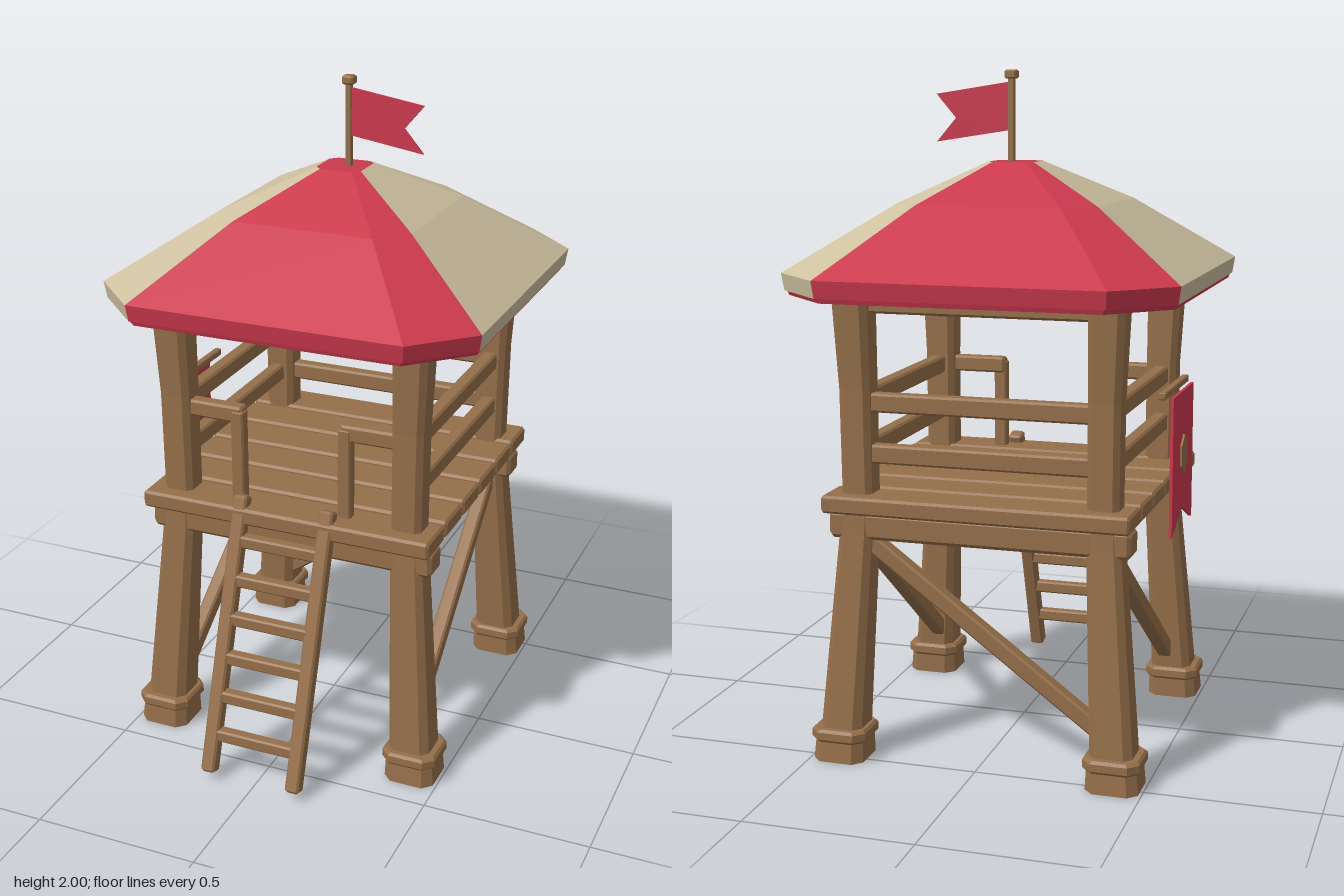
import * as THREE from 'three';

const wood = new THREE.MeshStandardMaterial({ color: 0x956f4a });
wood.name = 'wood';
const red = new THREE.MeshStandardMaterial({ color: 0xcb394d });
red.name = 'red cloth';
const cream = new THREE.MeshStandardMaterial({ color: 0xcdc1a0 });
cream.name = 'cream cloth';

// Chamfered-square cross-section, counted from the +x side towards +z
function ringPoints({ y, hx, hz = hx, ch, cx = 0, cz = 0 }) {
  const ex = hx - ch, ez = hz - ch;
  return [[hx, -ez], [hx, ez], [ex, hz], [-ex, hz], [-hx, ez], [-hx, -ez], [-ex, -hz], [ex, -hz]]
    .map(([x, z]) => new THREE.Vector3(cx + x, y, cz + z));
}

// Flat-shaded solid through a stack of rings; slot(i) picks the material of side i
function loft(rings, slot = () => 0) {
  const buckets = [[], []];
  const tri = (s, ...pts) => pts.forEach(p => buckets[s].push(p.x, p.y, p.z));
  const loops = rings.map(ringPoints);
  const last = loops[loops.length - 1];
  for (let i = 0; i < 8; i++) {
    const j = (i + 1) % 8;
    for (let k = 0; k + 1 < loops.length; k++) {
      const a = loops[k], b = loops[k + 1];
      tri(slot(i), a[i], b[i], a[j]);
      tri(slot(i), a[j], b[i], b[j]);
    }
    if (i > 0 && i < 7) {
      tri(0, loops[0][0], loops[0][i], loops[0][j]);
      tri(0, last[0], last[j], last[i]);
    }
  }
  const geo = new THREE.BufferGeometry();
  geo.setAttribute('position', new THREE.Float32BufferAttribute(buckets.flat(), 3));
  geo.computeVertexNormals();
  const n = buckets[0].length / 3;
  geo.addGroup(0, n, 0);
  if (buckets[1].length) geo.addGroup(n, buckets[1].length / 3, 1);
  return geo;
}

function add(parent, name, geo, mat = wood) {
  const mesh = new THREE.Mesh(geo, mat);
  mesh.name = name;
  parent.add(mesh);
  return mesh;
}

// Bevelled timber from a to b, w wide (horizontally) and h high
function beam(parent, name, a, b, w, h = w) {
  const A = new THREE.Vector3(...a), B = new THREE.Vector3(...b);
  const L = A.distanceTo(B), dir = B.clone().sub(A).normalize();
  const c = Math.min(w, h) * 0.14;
  const end = { hx: w / 2 - c, hz: h / 2 - c, ch: c / 2 }, body = { hx: w / 2, hz: h / 2, ch: c };
  const mesh = add(parent, name, loft([
    { y: -L / 2, ...end }, { y: -L / 2 + c, ...body }, { y: L / 2 - c, ...body }, { y: L / 2, ...end },
  ]));
  const side = Math.abs(dir.y) > 0.999 ? new THREE.Vector3(1, 0, 0)
    : dir.clone().cross(new THREE.Vector3(0, 1, 0)).normalize();
  mesh.quaternion.setFromRotationMatrix(
    new THREE.Matrix4().makeBasis(side, dir, side.clone().cross(dir)));
  mesh.position.copy(A).add(B).multiplyScalar(0.5);
  return mesh;
}

// Thin plate cut from an outline
function plate(parent, name, pts, mat, depth = 0.006) {
  const shape = new THREE.Shape(pts.map(p => new THREE.Vector2(...p)));
  const geo = new THREE.ExtrudeGeometry(shape, { depth, bevelEnabled: false });
  return add(parent, name, geo.translate(0, 0, -depth / 2), mat);
}

export function createModel() {
  const model = new THREE.Group();
  model.name = 'watchtower';
  const tower = new THREE.Group();
  tower.name = 'tower';
  tower.position.z = -0.065;
  model.add(tower);

  // Corner posts with feet and collars
  for (const sx of [-1, 1]) for (const sz of [-1, 1]) {
    const ring = (y, c, hx, ch = hx * 0.35) => ({ y, hx, ch, cx: sx * c, cz: sz * c });
    add(tower, 'cornerPost', loft([ring(0.04, 0.411, 0.064), ring(0.68, 0.37, 0.05),
      ring(0.8, 0.366, 0.046), ring(1.1, 0.368, 0.047), ring(1.38, 0.376, 0.054)]));
    add(tower, 'foot', loft([ring(0, 0.413, 0.077), ring(0.065, 0.411, 0.073)]));
    add(tower, 'footCollar', loft([ring(0.06, 0.411, 0.076), ring(0.068, 0.411, 0.083),
      ring(0.09, 0.411, 0.083), ring(0.098, 0.411, 0.076)]));
  }

  // Platform
  for (let i = 0; i < 6; i++) {
    const z = (i - 2.5) * 0.156;
    beam(tower, 'deckPlank', [-0.456, 0.77, z], [0.456, 0.77, z], 0.14, 0.052);
  }
  for (const s of [-1, 1]) {
    beam(tower, 'deckBeam', [-0.45, 0.702, s * 0.37], [0.45, 0.702, s * 0.37], 0.092, 0.08);
    beam(tower, 'topBeam', [-0.37, 1.348, s * 0.37], [0.37, 1.348, s * 0.37], 0.05, 0.055);
  }

  // Railings on the back and both sides, open gate at the front
  for (const y of [0.912, 1.062]) {
    beam(tower, 'backRail', [-0.36, y, -0.37], [0.36, y, -0.37], 0.045, 0.055);
    for (const s of [-1, 1])
      beam(tower, 'sideRail', [s * 0.37, y, -0.36], [s * 0.37, y, 0.36], 0.045, 0.055);
  }
  for (const s of [-1, 1]) {
    beam(tower, 'frontRail', [s * 0.36, 1.062, 0.37], [s * 0.155, 1.062, 0.37], 0.045, 0.05);
    beam(tower, 'gatePost', [s * 0.17, 0.785, 0.375], [s * 0.17, 1.075, 0.375], 0.04);
  }

  // Diagonal braces
  beam(tower, 'backBrace', [-0.39, 0.13, -0.39], [0.37, 0.68, -0.375], 0.045, 0.05);
  for (const s of [-1, 1])
    beam(tower, 'sideBrace', [s * 0.39, 0.13, 0.39], [s * 0.372, 0.68, -0.37], 0.045, 0.05);
  beam(tower, 'roofStrut', [0.37, 1.21, 0.36], [0.37, 1.35, 0.225], 0.045);

  // Ladder
  const ladder = new THREE.Group();
  ladder.name = 'ladder';
  tower.add(ladder);
  const ladderZ = y => 0.685 - (y - 0.03) * 0.331;
  for (const x of [-0.14, 0.135])
    beam(ladder, 'ladderRail', [x, 0.025, ladderZ(0.025)], [x, 0.825, ladderZ(0.825)], 0.044);
  for (let i = 0; i < 6; i++) {
    const y = 0.138 + i * 0.112;
    beam(ladder, 'rung', [-0.14, y, ladderZ(y)], [0.135, y, ladderZ(y)], 0.036, 0.038);
  }

  // Canopy of alternating red and cream panels, with a red lining
  add(tower, 'canopy', loft([
    { y: 1.38, hx: 0.572, ch: 0.16 }, { y: 1.43, hx: 0.58, ch: 0.163 },
    { y: 1.62, hx: 0.3, ch: 0.085 }, { y: 1.735, hx: 0.07, ch: 0.02, cx: 0.006, cz: -0.004 },
  ], i => (i % 4 === 1 || i % 4 === 2 ? 0 : 1)), [red, cream]);
  add(tower, 'canopyLining', loft([
    { y: 1.366, hx: 0.562, ch: 0.16 }, { y: 1.384, hx: 0.568, ch: 0.16 }]), red);

  // Flagpole and swallow-tailed flag
  beam(tower, 'flagpole', [0.018, 1.7, -0.005], [0.018, 1.985, -0.005], 0.018);
  beam(tower, 'finial', [0.018, 1.974, -0.005], [0.018, 2, -0.005], 0.036);
  plate(tower, 'flag', [[0.025, 1.825], [0.25, 1.79], [0.19, 1.86], [0.25, 1.93], [0.025, 1.965]], red)
    .position.z = -0.005;

  // Banner hung outside the right railing
  const banner = new THREE.Group();
  banner.name = 'banner';
  banner.position.set(-0.482, 0, 0.11);
  banner.rotation.y = -Math.PI / 2;
  tower.add(banner);
  plate(banner, 'bannerCloth',
    [[-0.148, 0.63], [0, 0.695], [0.148, 0.63], [0.148, 1.055], [-0.148, 1.055]], red, 0.009);
  plate(banner, 'bannerEmblem',
    [[0, 0.8], [0.042, 0.83], [0.042, 0.89], [0, 0.92], [-0.042, 0.89], [-0.042, 0.83]], wood, 0.009)
    .position.z = 0.006;
  beam(tower, 'bannerRod', [-0.456, 1.063, -0.06], [-0.456, 1.063, 0.28], 0.022);

  return model;
}
